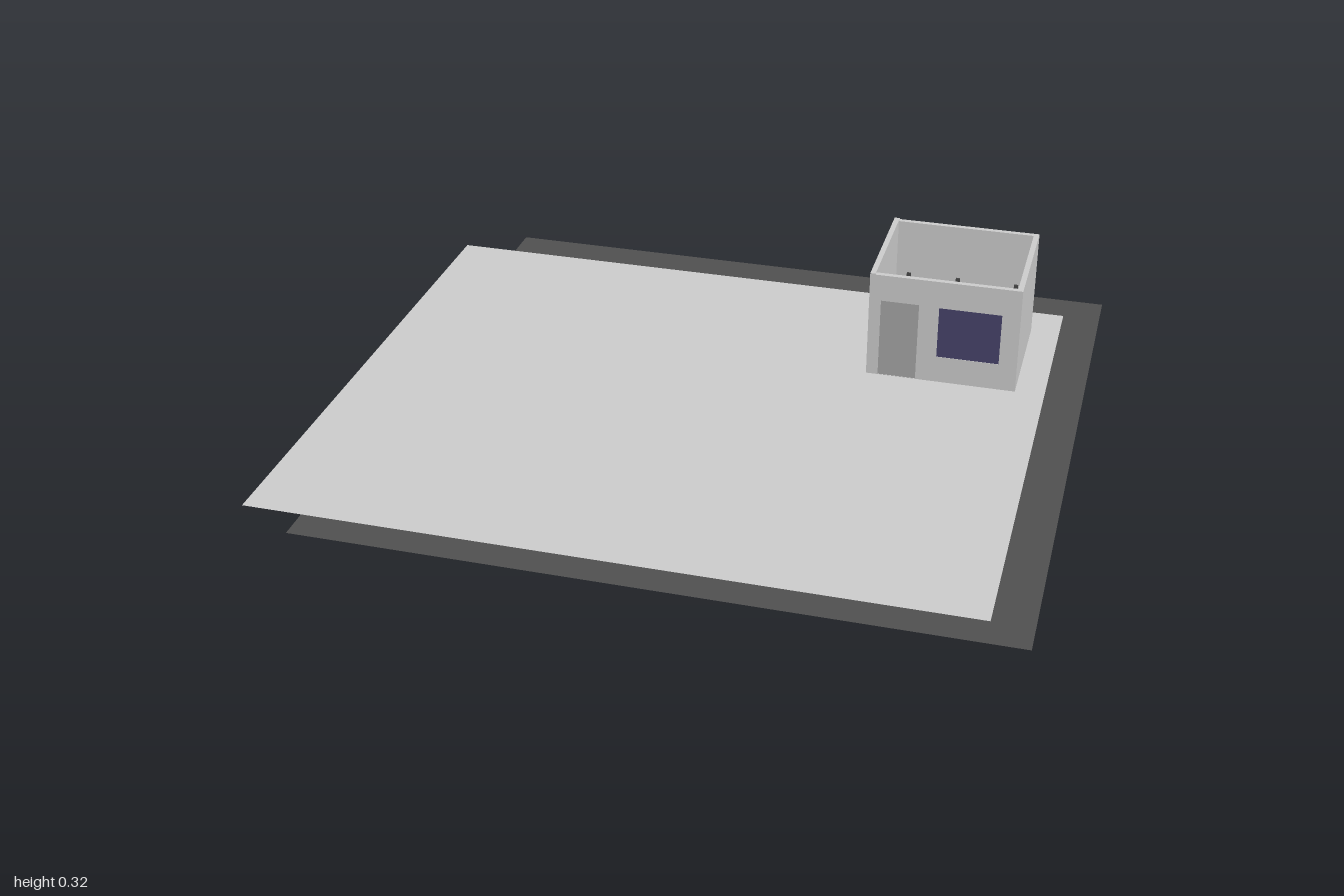
import * as THREE from 'three';

const grey = new THREE.MeshStandardMaterial({ color: 0xcccccc, side: THREE.DoubleSide });
const paint = (color) => new THREE.MeshStandardMaterial({ color, side: THREE.DoubleSide });
const asphalt = paint(0x505050);
const glass = paint(0x46436a);
const doorGrey = paint(0xa4a4a4);
const dark = paint(0x484848);

export function createModel() {
  const model = new THREE.Group();

  const add = (name, geometry, material, parent = model) => {
    const mesh = new THREE.Mesh(geometry, material);
    mesh.name = name;
    parent.add(mesh);
    return mesh;
  };
  // Box given by its limits on each axis
  const box = (name, [x0, x1], [y0, y1], [z0, z1], material = grey, parent = model) => {
    const mesh = add(name, new THREE.BoxGeometry(x1 - x0, y1 - y0, z1 - z0), material, parent);
    mesh.position.set((x0 + x1) / 2, (y0 + y1) / 2, (z0 + z1) / 2);
    return mesh;
  };
  const sheet = (name, [x0, x1], [z0, z1], y, material) => {
    const mesh = add(name, new THREE.PlaneGeometry(x1 - x0, z1 - z0).rotateX(-Math.PI / 2), material);
    mesh.position.set((x0 + x1) / 2, y, (z0 + z1) / 2);
  };
  const rect = (Type, x0, x1, y0, y1) => {
    const s = new Type();
    s.moveTo(x0, y0);
    s.lineTo(x1, y0);
    s.lineTo(x1, y1);
    s.lineTo(x0, y1);
    s.closePath();
    return s;
  };

  // Two overlapping ground sheets
  sheet('lowerGround', [-0.84, 1], [-0.885, 0.885], 0.004, asphalt);
  sheet('upperGround', [-1, 0.895], [-0.775, 0.803], 0.007, grey);

  // Roofless room
  const room = new THREE.Group();
  room.name = 'room';
  model.add(room);
  const L = 0.392, R = 0.813, B = -0.66, F = -0.282, T = 0.015, H = 0.318;
  box('leftEndWall', [L, L + T], [0, H + 0.003], [B, F], grey, room);
  box('rightEndWall', [R - T, R], [0, H], [B, F], grey, room);
  box('backWall', [L + T, R - T], [0, H], [B, B + T], grey, room);

  // Front wall with door and window openings
  const front = rect(THREE.Shape, L + T, R - T, 0, H);
  front.holes.push(rect(THREE.Path, 0.425, 0.532, 0.008, 0.24));
  front.holes.push(rect(THREE.Path, 0.588, 0.762, 0.086, 0.238));
  add('frontWall', new THREE.ExtrudeGeometry(front, { depth: T, bevelEnabled: false }), grey, room)
    .position.z = F - T;
  box('door', [0.425, 0.532], [0.008, 0.24], [F - T, F - 0.001], doorGrey, room);
  box('windowPane', [0.588, 0.762], [0.086, 0.238], [F - T, F - 0.001], glass, room);

  // Furniture
  const furniture = new THREE.Group();
  furniture.name = 'furniture';
  model.add(furniture);
  const put = (name, x, y, z, material = grey) => box(name, x, y, z, material, furniture);
  put('darkCabinet', [0.563, 0.633], [0.007, 0.065], [-0.48, -0.433], dark);
  put('cornerCabinet', [0.738, 0.79], [0.007, 0.065], [-0.331, -0.304], dark);
  put('sidePanel', [0.79, 0.797], [0.1, 0.17], [-0.495, -0.41], dark);

  // Seat with a straight back edge and a round front
  const seat = new THREE.Shape();
  seat.moveTo(-0.033, 0.03);
  seat.lineTo(-0.028, -0.01);
  seat.absarc(0, -0.01, 0.028, Math.PI, Math.PI * 2, false);
  seat.lineTo(0.033, 0.03);
  seat.closePath();
  const seatGeo = new THREE.ExtrudeGeometry(seat, { depth: 0.01, bevelEnabled: false });
  add('seat', seatGeo.rotateX(-Math.PI / 2), grey, furniture).position.set(0.615, 0.05, -0.345);
  add('seatPost', new THREE.CylinderGeometry(0.008, 0.014, 0.043, 12), grey, furniture)
    .position.set(0.615, 0.0285, -0.345);

  // Small cups on the floor
  for (const [z, r] of [[-0.535, 0.008], [-0.505, 0.006]]) {
    add('cup', new THREE.CylinderGeometry(r, r, 0.02, 12), grey, furniture).position.set(0.583, 0.017, z);
  }

  // Fittings on and near the back wall
  for (const x of [0.445, 0.59, 0.76]) {
    put('wallHook', [x - 0.006, x + 0.006], [0.145, 0.157], [-0.646, -0.64], dark);
  }
  for (let i = 0; i < 3; i++) {
    const x = 0.508 + i * 0.018;
    add('ring', new THREE.TorusGeometry(0.009, 0.002, 6, 14), dark, furniture)
      .position.set(x, 0.14, -0.61 + i * 0.008);
  }
  put('crossBar', [0.665, 0.687], [0.1, 0.104], [-0.617, -0.613], dark);
  put('crossArm', [0.674, 0.678], [0.1, 0.104], [-0.626, -0.604], dark);
  put('crossStem', [0.674, 0.678], [0.007, 0.1], [-0.617, -0.613], dark);

  return model;
}
